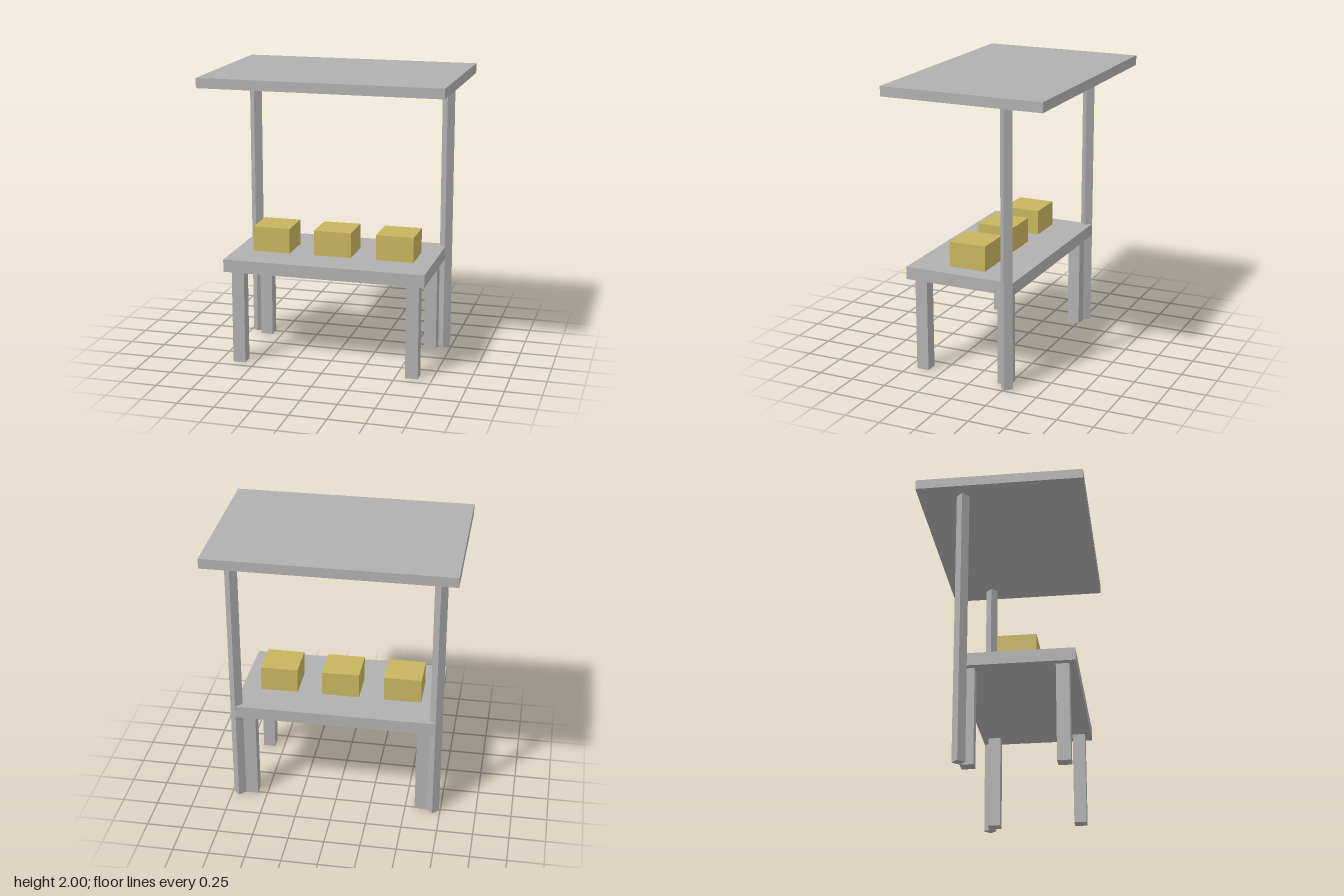
import * as THREE from 'three';

export function createModel() {
  const model = new THREE.Group();
  model.name = 'marketStall';

  const grey = new THREE.MeshStandardMaterial({ color: 0xb0b0b0 });
  grey.name = 'grey';
  const straw = new THREE.MeshStandardMaterial({ color: 0xc8b45e });
  straw.name = 'straw yellow';

  // Adds a mesh whose underside rests at the given height
  function add(name, geometry, material, height, x, bottom, z) {
    const mesh = new THREE.Mesh(geometry, material);
    mesh.name = name;
    mesh.position.set(x, bottom + height / 2, z);
    model.add(mesh);
  }
  function addBox(name, w, h, d, material, x, bottom, z) {
    add(name, new THREE.BoxGeometry(w, h, d), material, h, x, bottom, z);
  }

  const tableZ = 0.088;
  const legHeight = 0.66;
  const tableThickness = 0.087;
  const roofBottom = 1.932;

  // Table top and flat roof
  addBox('tableTop', 1.397, tableThickness, 0.786, grey, 0, legHeight, tableZ);
  addBox('roof', 1.66, 2 - roofBottom, 1.136, grey, 0, roofBottom, 0);

  for (const side of [-1, 1]) {
    const sideName = side > 0 ? 'left' : 'right';

    // Square table legs
    for (const end of [-1, 1]) {
      const endName = end > 0 ? 'Front' : 'Back';
      addBox(`${sideName}${endName}Leg`, 0.087, legHeight, 0.087, grey,
        side * 0.611, 0, tableZ + end * 0.306);
    }

    // Four-sided roof posts, standing corner-forward
    const post = new THREE.CylinderGeometry(0.0437, 0.0437, roofBottom, 4).toNonIndexed();
    post.computeVertexNormals();
    add(`${sideName}RoofPost`, post, grey, roofBottom, side * 0.698, 0, -0.262);
  }

  // Row of goods on the table
  for (const i of [-1, 0, 1]) {
    addBox(`crate${i + 2}`, 0.262, 0.175, 0.262, straw,
      i * 0.437, legHeight + tableThickness, tableZ);
  }

  return model;
}
